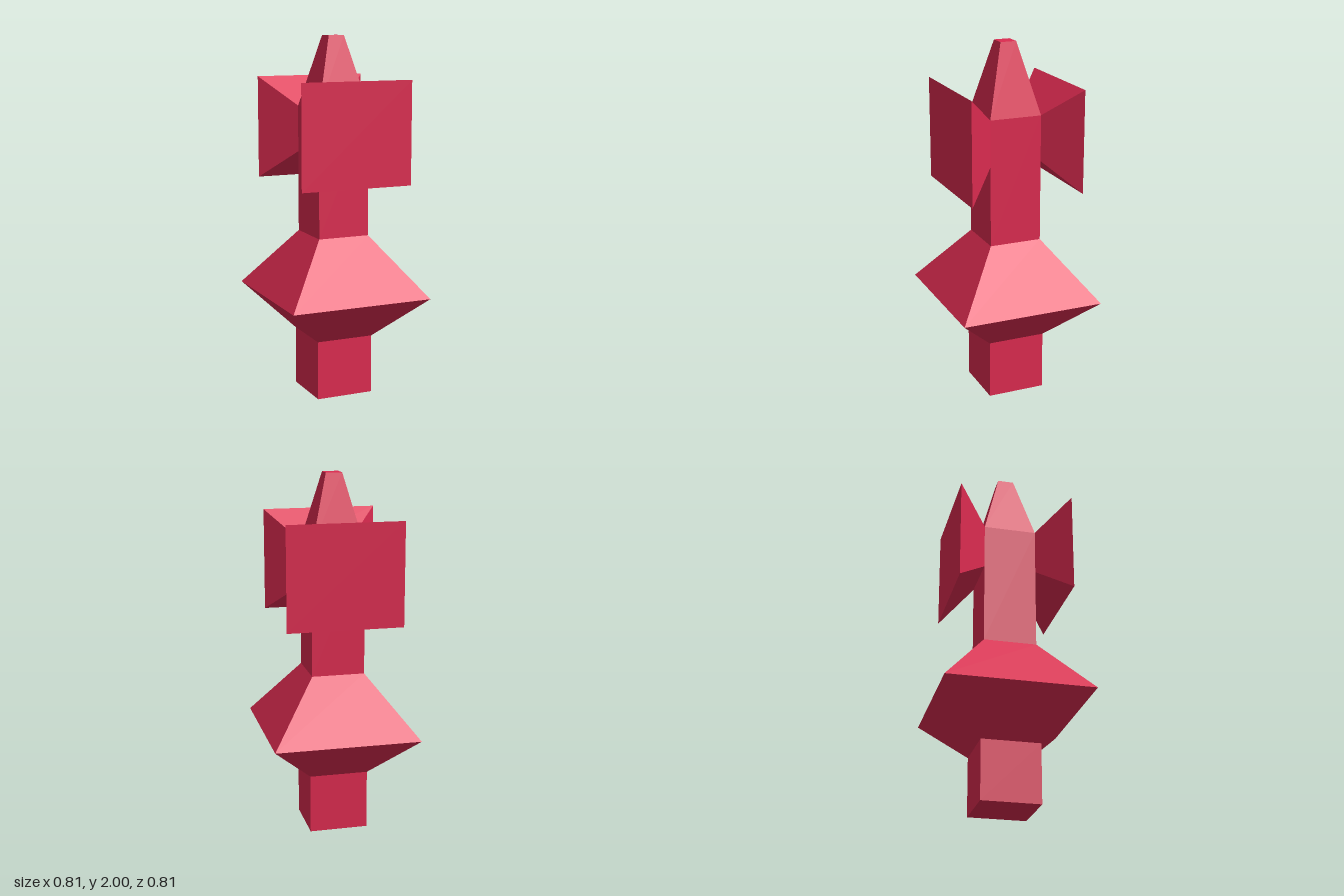
import * as THREE from 'three';

const material = new THREE.MeshStandardMaterial({ color: 0xdc2b50, flatShading: true });

// Square frustum between two heights, given half widths; caps only where asked
function squareSection(name, y0, half0, y1, half1, open) {
  const geometry = new THREE.CylinderGeometry(
    half1 * Math.SQRT2, half0 * Math.SQRT2, y1 - y0, 4, 1, open, Math.PI / 4);
  geometry.translate(0, (y0 + y1) / 2, 0);
  const mesh = new THREE.Mesh(geometry, material);
  mesh.name = name;
  return mesh;
}

// Block that widens along +z from an inner to an outer rectangle
function flaredBlock(name, zIn, zOut, inner, outer) {
  const geometry = new THREE.BoxGeometry(2, 2, 2);
  const p = geometry.attributes.position;
  for (let i = 0; i < p.count; i++) {
    const isOuter = p.getZ(i) > 0;
    const [hx, hy] = isOuter ? outer : inner;
    p.setXYZ(i, p.getX(i) * hx, p.getY(i) * hy, isOuter ? zOut : zIn);
  }
  geometry.computeVertexNormals();
  const mesh = new THREE.Mesh(geometry, material);
  mesh.name = name;
  return mesh;
}

export function createModel() {
  const model = new THREE.Group();
  model.name = 'hammer';

  // Stacked square sections: handle, flared collar, shaft and tapered tip
  model.add(
    squareSection('handle', 0, 0.163, 0.33, 0.163, false),
    squareSection('collarUnderside', 0.33, 0.163, 0.573, 0.405, true),
    squareSection('collarTop', 0.573, 0.405, 0.905, 0.147, true),
    squareSection('shaft', 0.905, 0.147, 1.61, 0.147, true),
    squareSection('tip', 1.61, 0.147, 2, 0.045, false),
  );

  // Two flared heads, front and back
  for (const [name, turn] of [['frontHead', 0], ['backHead', Math.PI]]) {
    const head = flaredBlock(name, 0.147, 0.32, [0.147, 0.128], [0.32, 0.285]);
    head.position.y = 1.483;
    head.rotation.y = turn;
    model.add(head);
  }
  return model;
}
